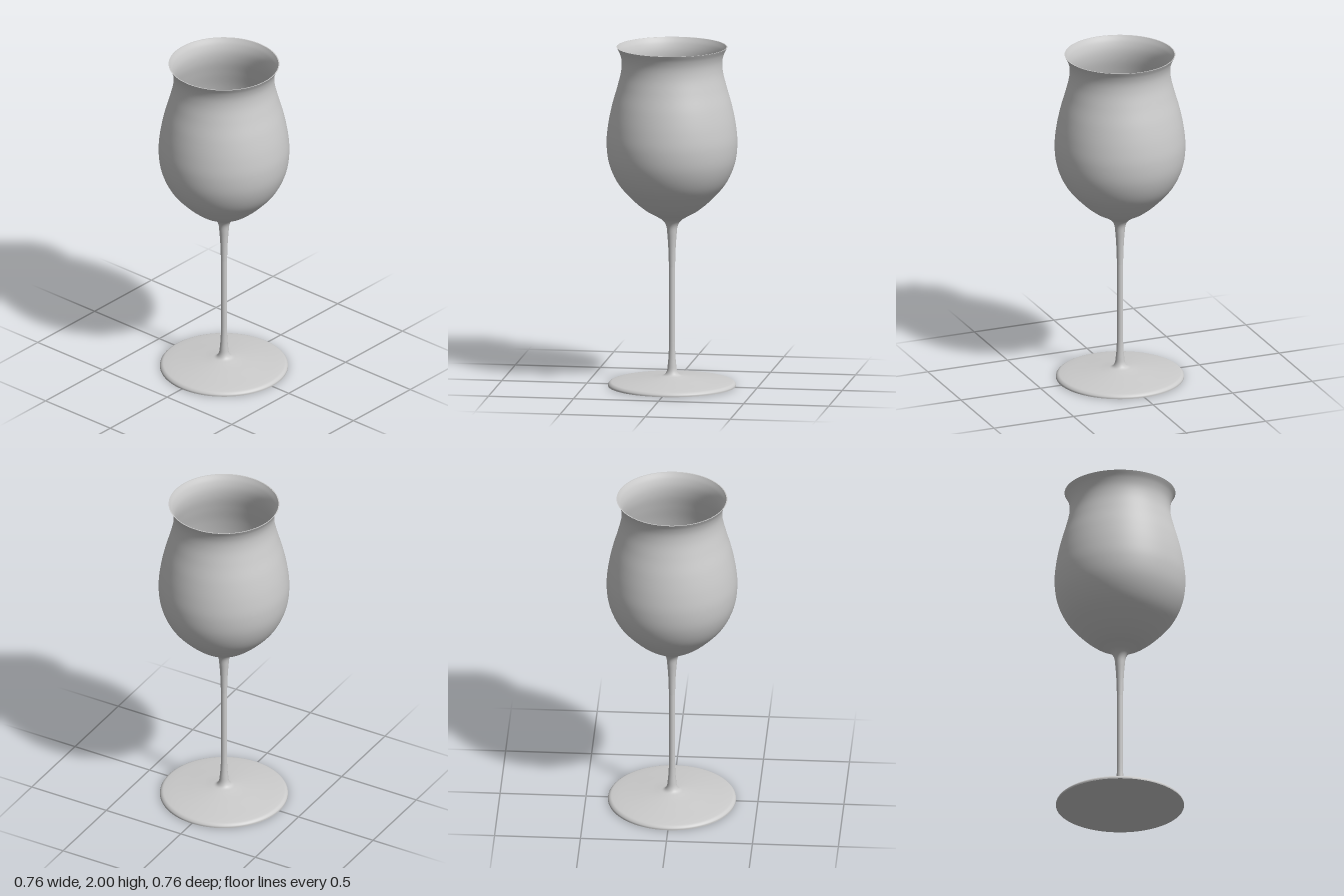
import * as THREE from 'three';

const SEGMENTS = 96;

export function createModel() {
  const glass = new THREE.Group();
  glass.name = 'wineGlass';
  const material = new THREE.MeshStandardMaterial({ color: 0xcccccc });

  // Smooth profile through [radius, height] points
  const smooth = (points, steps) =>
    new THREE.CatmullRomCurve3(points.map(([r, y]) => new THREE.Vector3(r, y, 0)))
      .getPoints(steps).map((p) => new THREE.Vector2(Math.max(p.x, 0), p.y));
  const straight = (points) => points.map(([r, y]) => new THREE.Vector2(r, y));

  const turn = (name, profile) => {
    const mesh = new THREE.Mesh(new THREE.LatheGeometry(profile, SEGMENTS), material);
    mesh.name = name;
    glass.add(mesh);
  };

  // Foot: flat underside, rounded edge, shallow cone flaring into the stem
  turn('footUnderside', straight([[0, 0], [0.372, 0]]));
  turn('foot', smooth([
    [0.372, 0], [0.371, 0.01], [0.36, 0.021], [0.34, 0.026], [0.2, 0.043], [0.08, 0.057],
    [0.045, 0.065], [0.031, 0.085], [0.024, 0.13], [0.019, 0.2], [0.018, 0.26],
  ], 60));

  // Stem
  turn('stem', straight([[0.018, 0.26], [0.018, 0.7]]));

  // Bowl outside, from the stem flare up to the flared lip
  turn('bowlOutside', smooth([
    [0.018, 0.7], [0.021, 0.8], [0.027, 0.89], [0.034, 0.945], [0.052, 0.975], [0.085, 0.998],
    [0.15, 1.035], [0.228, 1.1], [0.315, 1.2], [0.365, 1.313], [0.38, 1.43], [0.371, 1.54],
    [0.347, 1.66], [0.316, 1.77], [0.295, 1.86], [0.293, 1.92], [0.304, 1.965], [0.322, 2],
  ], 110));

  // Thin lip and bowl inside, from the lip down to the bottom
  turn('lip', straight([[0.322, 2], [0.316, 2]]));
  turn('bowlInside', smooth([
    [0.316, 2], [0.298, 1.965], [0.287, 1.92], [0.289, 1.86], [0.31, 1.77], [0.341, 1.66],
    [0.365, 1.54], [0.374, 1.43], [0.359, 1.313], [0.309, 1.204], [0.223, 1.108],
    [0.147, 1.045], [0.08, 1.01], [0.035, 1], [0, 0.998],
  ], 90));

  return glass;
}
